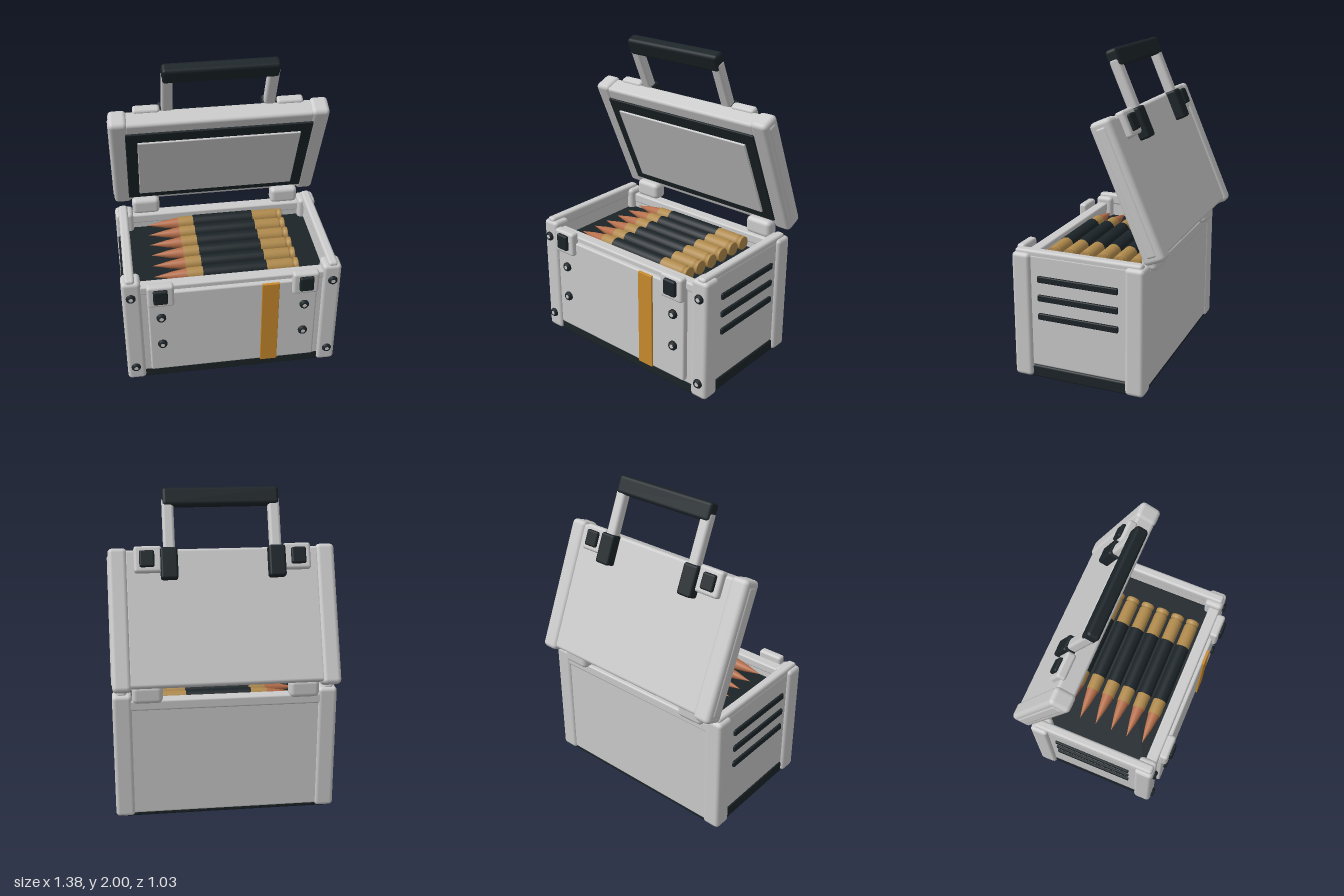
import * as THREE from 'three';
import { RoundedBoxGeometry } from 'three/addons/geometries/RoundedBoxGeometry.js';

const paint = (color) => new THREE.MeshStandardMaterial({ color });
const grey = paint(0xcccccc);
const dark = paint(0x1c2428);
const amber = paint(0xc98a2c);
const brass = paint(0xb08a4c);
const copper = paint(0xb56e4a);

// Rounded block given by its extents on each axis
function block(parent, name, [x0, x1], [y0, y1], [z0, z1], mat = grey, r = 0.012) {
  const w = x1 - x0, h = y1 - y0, d = z1 - z0;
  const radius = Math.min(r, w * 0.45, h * 0.45, d * 0.45);
  const mesh = new THREE.Mesh(new RoundedBoxGeometry(w, h, d, 2, radius), mat);
  mesh.position.set((x0 + x1) / 2, (y0 + y1) / 2, (z0 + z1) / 2);
  mesh.name = name;
  parent.add(mesh);
  return mesh;
}

// The same block on both sides of x = 0
function pair(parent, name, [x0, x1], ys, zs, mat, r) {
  block(parent, name + 'Left', [x0, x1], ys, zs, mat, r);
  block(parent, name + 'Right', [-x1, -x0], ys, zs, mat, r);
}

// Dark bolt with a recessed hexagonal socket
function bolt(parent, x, y, z) {
  const profile = [[0.03, 0], [0.03, 0.014], [0.023, 0.024], [0.014, 0.024]]
    .map(([a, b]) => new THREE.Vector2(a, b));
  const head = new THREE.Mesh(new THREE.LatheGeometry(profile, 20), dark);
  const socket = new THREE.Mesh(new THREE.CylinderGeometry(0.015, 0.015, 0.016, 6), grey);
  socket.position.y = 0.008;
  const g = new THREE.Group();
  g.name = 'bolt';
  g.add(head, socket);
  g.rotation.x = Math.PI / 2;
  g.position.set(x, y, z);
  parent.add(g);
}

// One cartridge lying along x, tip towards -x
function cartridge(z) {
  const g = new THREE.Group();
  g.name = 'cartridge';
  const turned = (name, pts, mat) => {
    const geo = new THREE.LatheGeometry(pts.map(([r, x]) => new THREE.Vector2(r, -x)), 24);
    const mesh = new THREE.Mesh(geo.toNonIndexed(), mat);
    mesh.name = name;
    mesh.rotation.z = Math.PI / 2;
    g.add(mesh);
  };
  turned('bulletTip', [[0.039, -0.26], [0.039, -0.27], [0.024, -0.37], [0, -0.48]], copper);
  turned('casing', [[0, 0.44], [0.043, 0.44], [0.045, 0.436], [0.045, 0.418], [0.036, 0.415],
    [0.036, 0.403], [0.045, 0.398], [0.045, 0.2], [0.044, -0.16], [0.042, -0.272], [0.036, -0.272]], brass);
  turned('beltLink', [[0.04, 0.235], [0.048, 0.235], [0.048, -0.17], [0.04, -0.17]], dark);
  g.position.set(0, 0.73, z);
  return g;
}

function buildBody() {
  const body = new THREE.Group();
  body.name = 'body';
  block(body, 'base', [-0.67, 0.67], [0, 0.08], [-0.395, 0.425], dark);
  block(body, 'frontWall', [-0.6, 0.6], [0.06, 0.74], [0.36, 0.425]);
  block(body, 'backWall', [-0.6, 0.6], [0.02, 0.76], [-0.398, -0.33]);
  pair(body, 'sideWall', [0.61, 0.667], [0.08, 0.8], [-0.38, 0.41]);
  block(body, 'tray', [-0.615, 0.615], [0.62, 0.675], [-0.34, 0.37], dark);

  // Corner posts and top rails
  for (const zs of [[0.32, 0.44], [-0.41, -0.29]]) {
    pair(body, 'cornerPost', [0.57, 0.69], [0.005, 0.81], zs, grey, 0.025);
  }
  pair(body, 'sideRail', [0.605, 0.665], [0.75, 0.83], [-0.39, 0.43], grey, 0.018);
  block(body, 'frontRail', [-0.6, 0.6], [0.71, 0.768], [0.355, 0.43]);
  block(body, 'backRail', [-0.6, 0.6], [0.71, 0.775], [-0.405, -0.325]);

  // Front plate, stripe, bolts and latches
  block(body, 'frontPlate', [-0.535, 0.535], [0.09, 0.735], [0.4, 0.458]);
  block(body, 'stripe', [0.18, 0.29], [0.092, 0.733], [0.44, 0.47], amber, 0.003);
  for (const s of [-1, 1]) {
    for (const y of [0.115, 0.7]) bolt(body, s * 0.635, y, 0.434);
    for (const y of [0.32, 0.54]) bolt(body, s * 0.455, y, 0.456);
  }
  pair(body, 'latch', [0.37, 0.537], [0.645, 0.805], [0.43, 0.487], grey, 0.018);
  pair(body, 'latchButton', [0.41, 0.5], [0.68, 0.785], [0.47, 0.507], dark, 0.012);

  // Side slots
  for (const y of [0.415, 0.535, 0.655]) {
    pair(body, 'sideSlot', [0.655, 0.682], [y - 0.02, y + 0.02], [-0.245, 0.275], dark, 0.006);
  }
  // Hinges
  pair(body, 'hinge', [0.385, 0.57], [0.765, 0.88], [-0.445, -0.345], grey, 0.03);
  return body;
}

// Lid frame: y runs up the open lid, +z is its inner side
function buildLid() {
  const lid = new THREE.Group();
  lid.name = 'lid';
  block(lid, 'lidPanel', [-0.59, 0.59], [0.02, 0.845], [-0.125, -0.005], grey, 0.02);
  pair(lid, 'lidEnd', [0.57, 0.685], [0, 0.858], [-0.135, 0], grey, 0.028);
  pair(lid, 'lidEndRib', [0.66, 0.69], [0.04, 0.82], [-0.1, -0.035], grey, 0.014);
  block(lid, 'lidSeal', [-0.588, 0.588], [0.07, 0.77], [-0.03, 0.008], dark, 0.006);
  block(lid, 'lidLiner', [-0.515, 0.515], [0.13, 0.692], [-0.02, 0.02], grey, 0.006);

  // Catches on the outer face
  pair(lid, 'lidCatch', [0.365, 0.532], [0.7, 0.86], [-0.16, -0.1], grey, 0.018);
  pair(lid, 'lidCatchButton', [0.41, 0.5], [0.73, 0.83], [-0.18, -0.14], dark, 0.012);

  // Carrying handle
  const handle = new THREE.Group();
  handle.name = 'handle';
  pair(handle, 'handleBracket', [0.272, 0.375], [0.655, 0.845], [-0.188, -0.11], dark, 0.015);
  pair(handle, 'handleArm', [0.285, 0.355], [0.72, 1.15], [-0.172, -0.108], grey, 0.018);
  block(handle, 'handleGrip', [-0.352, 0.352], [1.095, 1.207], [-0.18, -0.102], dark, 0.022);
  lid.add(handle);

  lid.position.set(0, 0.83, -0.41);
  lid.rotation.x = THREE.MathUtils.degToRad(23.4);
  return lid;
}

export function createModel() {
  const model = new THREE.Group();
  model.name = 'ammunitionBox';
  model.add(buildBody(), buildLid());
  const cartridges = new THREE.Group();
  cartridges.name = 'cartridges';
  for (let i = 0; i < 6; i++) cartridges.add(cartridge(0.29 - 0.11 * i));
  model.add(cartridges);
  return model;
}
